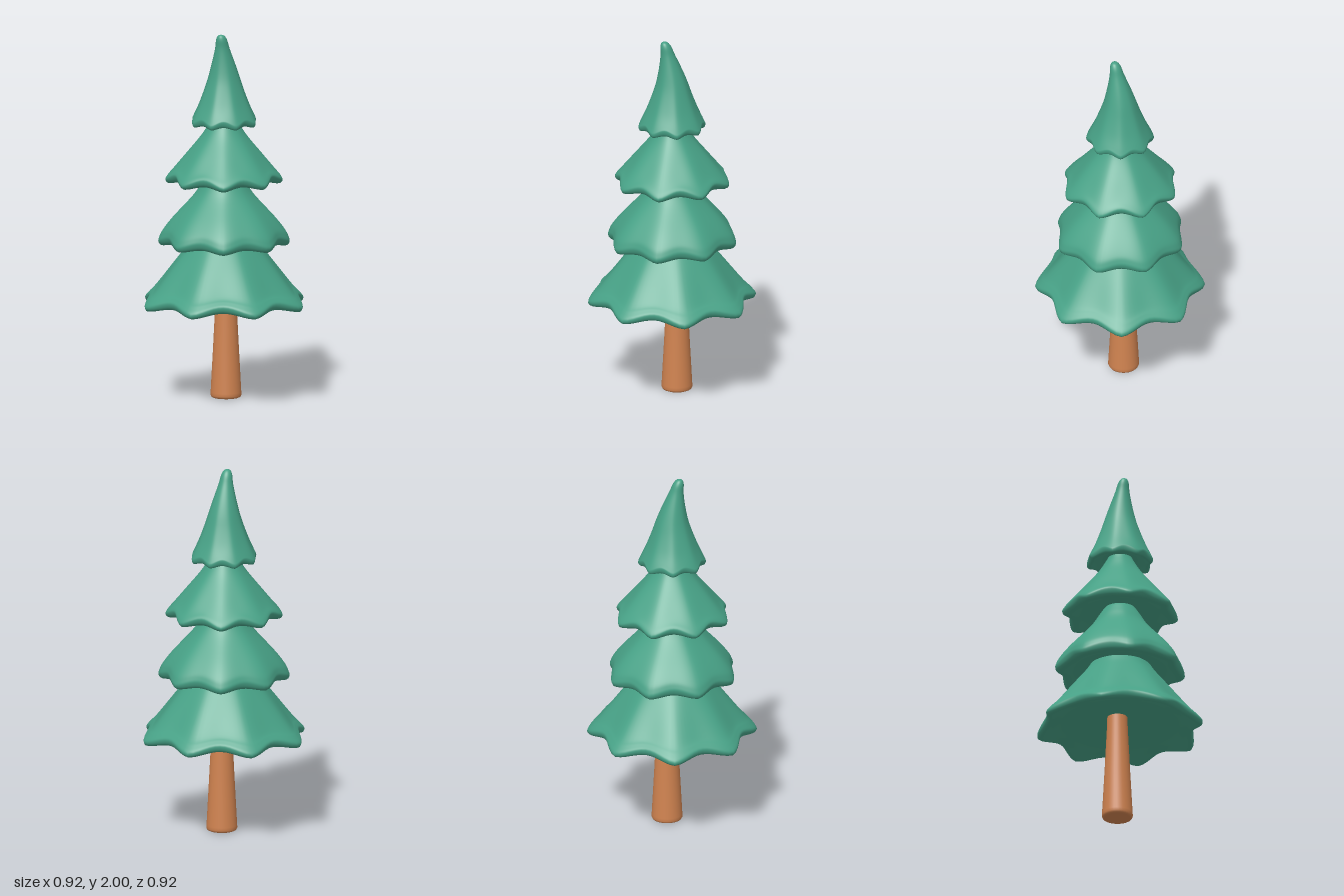
import * as THREE from 'three';
import { mergeVertices } from 'three/addons/utils/BufferGeometryUtils.js';

const SEGMENTS = 96;
const LOBES = 8;

// Each tier: profile [radius, y] from the underside centre, round the lip, up to the top.
// rimRadius: radius of the lobe tips; dip/lift: how far the rim draws in and rises between lobes.
const TIERS = [
  {
    name: 'bottomBranches', rimRadius: 0.46, dip: 0.055, lift: 0.04, turn: 0,
    profile: [[0, 0.6], [0.1, 0.595], [0.28, 0.56], [0.38, 0.525], [0.43, 0.503], [0.453, 0.508],
      [0.457, 0.53], [0.43, 0.563], [0.39, 0.605], [0.285, 0.735], [0.2, 0.84], [0.13, 0.93], [0, 0.97]],
  },
  {
    name: 'lowerMiddleBranches', rimRadius: 0.355, dip: 0.032, lift: 0.03, turn: Math.PI / 8,
    profile: [[0, 0.9], [0.12, 0.895], [0.24, 0.87], [0.31, 0.842], [0.341, 0.84], [0.355, 0.86],
      [0.35, 0.885], [0.33, 0.925], [0.275, 0.995], [0.165, 1.115], [0.115, 1.19], [0.07, 1.25], [0, 1.28]],
  },
  {
    name: 'upperMiddleBranches', rimRadius: 0.317, dip: 0.032, lift: 0.035, turn: Math.PI / 8,
    profile: [[0, 1.24], [0.09, 1.235], [0.2, 1.21], [0.27, 1.183], [0.302, 1.18], [0.317, 1.197],
      [0.308, 1.22], [0.275, 1.26], [0.208, 1.34], [0.125, 1.44], [0.08, 1.51], [0.05, 1.56], [0, 1.58]],
  },
  {
    name: 'topBranches', rimRadius: 0.183, dip: 0.014, lift: 0.024, turn: 0,
    profile: [[0, 1.54], [0.08, 1.535], [0.13, 1.515], [0.16, 1.497], [0.176, 1.497], [0.183, 1.515],
      [0.174, 1.54], [0.138, 1.62], [0.1, 1.72], [0.066, 1.83], [0.04, 1.92], [0.03, 1.97], [0.017, 1.994], [0, 2.0]],
  },
];

// Smooth curve through a short profile, kept off the far side of the axis
function smoothProfile(points, divisions) {
  const curve = new THREE.SplineCurve(points.map(([r, y]) => new THREE.Vector2(r, y)));
  const result = curve.getPoints(divisions);
  result.forEach((p) => { p.x = Math.max(0, p.x); });
  return result;
}

// Drop the lathe seam so that the normals run smoothly all the way round
function weld(geometry) {
  geometry.deleteAttribute('uv');
  geometry.deleteAttribute('normal');
  const welded = mergeVertices(geometry, 1e-5);
  welded.computeVertexNormals();
  return welded;
}

// Lathe whose rim is pushed into eight soft lobes, with the tip of the tree nodding forward
function tierGeometry({ profile, rimRadius, dip, lift, turn }) {
  const geometry = new THREE.LatheGeometry(smoothProfile(profile, 60), SEGMENTS);
  const position = geometry.attributes.position;
  for (let i = 0; i < position.count; i++) {
    let x = position.getX(i);
    let y = position.getY(i);
    let z = position.getZ(i);
    const radius = Math.hypot(x, z);
    if (radius > 1e-6) {
      const angle = Math.atan2(x, z) + turn;
      const valley = Math.pow(Math.sin(angle * LOBES / 2) ** 2, 0.75);
      const weight = Math.pow(Math.min(1, radius / rimRadius), 3);
      const scale = 1 - dip * weight * valley / radius;
      x *= scale;
      z *= scale;
      y += lift * weight * weight * valley;
    }
    const bend = Math.max(0, (y - 1.74) / 0.26);
    z += 0.041 * Math.pow(bend, 1.6);
    position.setXYZ(i, x, y, z);
  }
  return weld(geometry);
}

export function createModel() {
  const tree = new THREE.Group();
  tree.name = 'pineTree';

  const needles = new THREE.MeshStandardMaterial({ color: 0x47a186 });
  needles.name = 'needleGreen';
  const bark = new THREE.MeshStandardMaterial({ color: 0xd08350 });
  bark.name = 'barkOrange';

  // Tapered trunk with a softly rounded foot, set slightly back
  const trunkProfile = [[0, 0], [0.07, 0], [0.079, 0.004], [0.084, 0.014], [0.083, 0.03],
    [0.07, 0.27], [0.057, 0.53], [0.053, 0.65]].map(([r, y]) => new THREE.Vector2(r, y));
  const trunk = new THREE.Mesh(weld(new THREE.LatheGeometry(trunkProfile, 32)), bark);
  trunk.name = 'trunk';
  trunk.position.z = -0.027;
  tree.add(trunk);

  // Four stacked tiers of branches
  for (const tier of TIERS) {
    const mesh = new THREE.Mesh(tierGeometry(tier), needles);
    mesh.name = tier.name;
    tree.add(mesh);
  }
  return tree;
}
